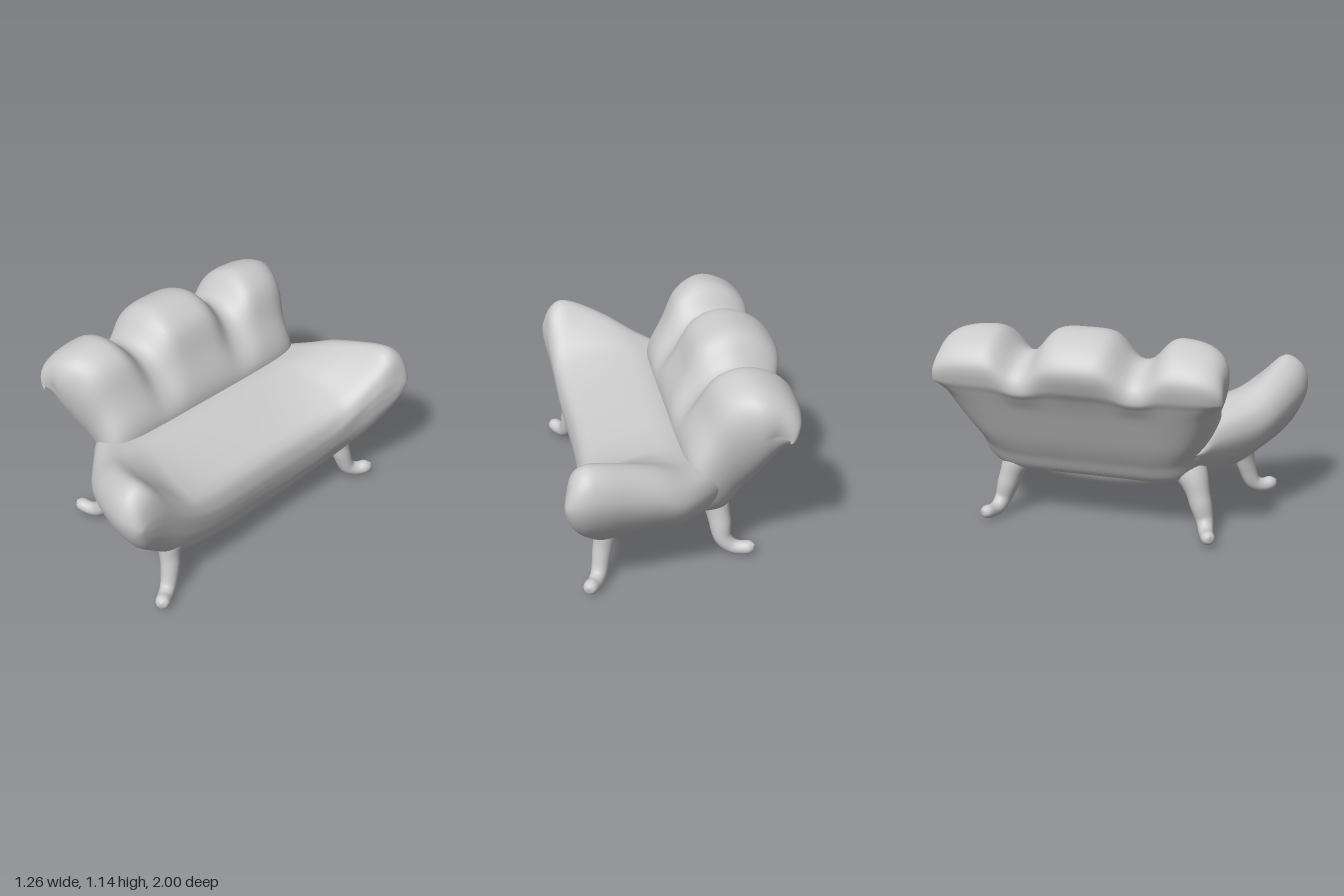
import * as THREE from 'three';

const { lerp, smoothstep } = THREE.MathUtils;
const material = new THREE.MeshStandardMaterial({ color: 0xcccccc, roughness: 0.8 });
const V = (x, y, z) => new THREE.Vector3(x, y, z);

// Smooth closed ring through control points
const closedRing = (pts, n) => {
  const curve = new THREE.CatmullRomCurve3(pts, true, 'centripetal');
  return Array.from({ length: n }, (_, i) => curve.getPoint(i / n));
};

// Smooth value at position t along a table of rows
const sampleRows = (rows, t) => {
  const j = Math.min(Math.floor(t), rows.length - 2), f = t - j;
  const row = (i) => rows[Math.max(0, Math.min(rows.length - 1, i))];
  return rows[0].map((_, c) => {
    const [p, a, b, q] = [row(j - 1)[c], row(j)[c], row(j + 1)[c], row(j + 2)[c]];
    return a + 0.5 * f * (b - p + f * (2 * p - 5 * a + 4 * b - q + f * (3 * (a - b) + q - p)));
  });
};

// Thin a ring towards its middle line: point i pairs with point n - i
const thin = (ring, s) => ring.map((p, i) => {
  const mid = p.clone().add(ring[(ring.length - i) % ring.length]).multiplyScalar(0.5);
  return mid.lerp(p, s);
});

// Skin a list of rings and close both ends across the paired points
function loft(rings, name) {
  const n = rings[0].length, last = (rings.length - 1) * n, idx = [];
  const pos = rings.flat().flatMap((p) => [p.x, p.y, p.z]);
  for (let r = 0; r < rings.length - 1; r++) {
    for (let i = 0; i < n; i++) {
      const a = r * n + i, b = r * n + (i + 1) % n;
      idx.push(a, b, a + n, b, b + n, a + n);
    }
  }
  for (let i = 0; i < n / 2; i++) {
    const a = i, b = i + 1, c = (n - i) % n, d = n - i - 1;
    idx.push(a, c, b, b, c, d);
    idx.push(last + a, last + b, last + c, last + b, last + d, last + c);
  }
  // Turn the faces outward if the enclosed volume is negative
  const at = (i) => V(pos[3 * i], pos[3 * i + 1], pos[3 * i + 2]);
  let volume = 0;
  for (let i = 0; i < idx.length; i += 3) {
    volume += at(idx[i]).dot(at(idx[i + 1]).cross(at(idx[i + 2])));
  }
  if (volume < 0) idx.reverse();
  const g = new THREE.BufferGeometry();
  g.setAttribute('position', new THREE.Float32BufferAttribute(pos, 3));
  g.setIndex(idx);
  g.computeVertexNormals();
  const mesh = new THREE.Mesh(g, material);
  mesh.name = name;
  return mesh;
}

// Seat and flared arms: U-shaped sections from back to front
function seatAndArms() {
  // x, half width, arm top, seat height, underside, thickness
  const stations = [
    [-0.31, 0.53, 0.52, 0.48, 0.36, 0.1],
    [-0.28, 0.58, 0.57, 0.54, 0.29, 0.75],
    [-0.2, 0.65, 0.63, 0.61, 0.22, 1],
    [0.00, 0.83, 0.69, 0.67, 0.16, 1],
    [0.15, 0.92, 0.765, 0.65, 0.145, 1],
    [0.30, 0.98, 0.83, 0.61, 0.12, 1],
    [0.40, 1.00, 0.86, 0.58, 0.105, 1],
    [0.46, 0.995, 0.855, 0.565, 0.115, 0.96],
    [0.505, 0.975, 0.835, 0.55, 0.14, 0.8],
    [0.53, 0.95, 0.81, 0.53, 0.18, 0.45],
    [0.535, 0.93, 0.80, 0.52, 0.2, 0.05],
  ];
  const rings = [];
  const steps = 6;
  for (let k = 0; k <= (stations.length - 1) * steps; k++) {
    const [x, w, a, s, b, t] = sampleRows(stations, k / steps);
    const hull = [[0.93, 0.52], [0.78, 0.31], [0.6, 0.13], [0.32, 0.03]]
      .map(([z, h]) => [z * w, b + h * (a - b)]);
    const top = [[0.56, s + 0.16 * (a - s)], [0.74, s + 0.62 * (a - s)], [0.87, a], [0.965, lerp(b, a, 0.93)]]
      .map(([z, y]) => [z * w, y]);
    const mirror = (list) => list.map(([z, y]) => [-z, y]);
    const tip = [w, lerp(b, a, 0.76)];
    const outline = [tip, ...hull, [0, b], ...mirror(hull).reverse(), ...mirror([tip]),
      ...mirror(top).reverse(), [0, s], ...top];
    // The right arm is wider at the back and reaches further forward
    const front = smoothstep(x, 0.05, 0.5);
    const wide = 1 + 0.1 * (1 - smoothstep(x, -0.15, 0.3));
    const pts = outline.map(([z, y]) => {
      const lean = -0.06 * Math.max(0, 0.52 - y) / 0.4 - 0.035 * (1 - Math.abs(z));
      const reach = z < 0 ? 0.095 * smoothstep(-z, 0.45, 0.9) : 0.005 * z;
      return V(x + front * (lean + reach), y, z < 0 ? z * wide : z);
    });
    rings.push(thin(closedRing(pts, 80), Math.min(1, t)));
  }
  return loft(rings, 'seatAndArms');
}

// Leaning backrest with three rolled-over lobes: sections along its length
function backrest() {
  const profile = [
    [-0.58, 0.86], [-0.595, 0.97], [-0.5, 1.08], [-0.34, 1.13], [-0.2, 1.07], [-0.11, 0.9], [-0.02, 0.68],
    [-0.1, 0.36],
    [-0.26, 0.29], [-0.34, 0.4], [-0.4, 0.5], [-0.46, 0.62], [-0.51, 0.72], [-0.55, 0.8],
  ];
  const rings = [];
  const n = 110;
  for (let k = 0; k <= n; k++) {
    const u = Math.sin((k / n - 0.5) * Math.PI);
    const z0 = -0.065 + 0.82 * u;
    const gap = Math.min(Math.abs(z0 - 0.265), Math.abs(z0 + 0.36));
    const dip = Math.exp(-Math.pow(gap / 0.11, 2.5));
    const middle = smoothstep(0.33 - Math.abs(z0 + 0.05), 0, 0.3);
    const thickness = Math.sqrt(1 - Math.pow(Math.abs(u), 8));
    const pts = profile.map(([x, y]) => {
      const high = smoothstep(y, 0.8, 1.05);
      const crest = 1.125 + 0.02 * middle - 0.13 * dip;
      const yy = y > 0.75 ? 0.75 + (y - 0.75) * (crest - 0.75) / 0.38 : y;
      let xx = x - 0.035 * middle * smoothstep(y, 0.72, 1.0) * smoothstep(-x, 0.2, 0.5);
      xx = lerp(xx, -0.35, 0.2 * dip * high);
      // The rear edge of each wing is rounded off and droops
      const rear = smoothstep(-x, 0.3, 0.58) * smoothstep(y, 0.3, 0.8) * (1 - thickness);
      // Wings flare outward towards the rolled rear edge
      const half = 0.6 + 0.14 * smoothstep(y, 0.3, 0.65)
        + 0.08 * smoothstep(y, 0.6, 0.95) * smoothstep(-x, 0.05, 0.32) - 0.03 * rear;
      return V(xx + 0.07 * rear, yy - 0.02 * rear, -0.065 + u * half);
    });
    rings.push(thin(closedRing(pts, 84), Math.max(0.04, thickness)));
  }
  return loft(rings, 'backrest');
}

// Curved leg: round rings of changing radius along a path, ending in a rounded toe
function leg(name, path, radii, side) {
  const curve = new THREE.CatmullRomCurve3(path.map(([x, y, z]) => V(x, y, z * side)));
  const n = 40, frames = curve.computeFrenetFrames(n), rings = [];
  for (let k = 0; k <= n; k++) {
    const t = k / n, c = curve.getPointAt(t);
    const [radius] = sampleRows(radii.map((r) => [r]), t * (radii.length - 1));
    const e = Math.max(0, (t - 0.9) / 0.1);
    const r = radius * Math.sqrt(Math.max(0.002, 1 - e * e));
    rings.push(Array.from({ length: 20 }, (_, i) => {
      const a = i / 20 * Math.PI * 2;
      return c.clone().addScaledVector(frames.normals[k], r * Math.cos(a))
        .addScaledVector(frames.binormals[k], r * Math.sin(a));
    }));
  }
  return loft(rings, name);
}

export function createModel() {
  const group = new THREE.Group();
  group.name = 'sofa';
  group.add(seatAndArms(), backrest());
  const frontPath = [[0.36, 0.42, 0.58], [0.395, 0.3, 0.65], [0.42, 0.18, 0.67],
    [0.445, 0.07, 0.71], [0.475, 0.045, 0.76], [0.505, 0.055, 0.805], [0.52, 0.07, 0.83]];
  const rearPath = [[-0.17, 0.4, 0.45], [-0.215, 0.3, 0.51], [-0.235, 0.2, 0.545],
    [-0.25, 0.1, 0.575], [-0.3, 0.053, 0.595], [-0.37, 0.053, 0.62], [-0.41, 0.075, 0.635]];
  for (const [side, label] of [[1, 'Left'], [-1, 'Right']]) {
    group.add(leg('frontLeg' + label, frontPath, [0.11, 0.095, 0.06, 0.052, 0.045, 0.04, 0.042], side));
    group.add(leg('rearLeg' + label, rearPath, [0.1, 0.085, 0.065, 0.058, 0.045, 0.038, 0.04], side));
  }
  return group;
}
